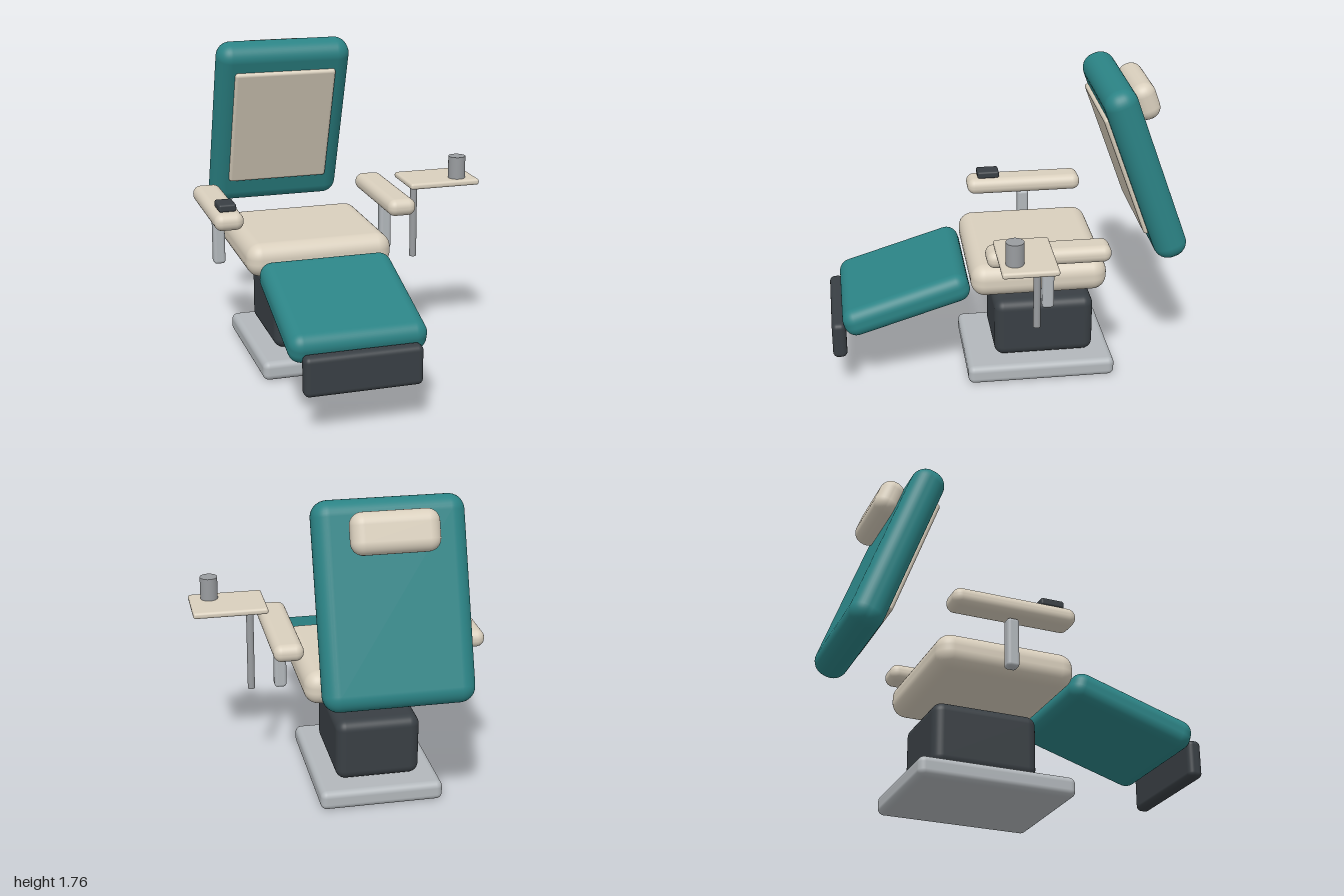
import * as THREE from 'three';
import { RoundedBoxGeometry } from 'three/addons/geometries/RoundedBoxGeometry.js';

const paint = (color) => new THREE.MeshStandardMaterial({ color });

export function createModel() {
  const model = new THREE.Group();
  model.name = 'recliningChair';
  const teal = paint(0x2b8385);
  const cream = paint(0xd9cfbd);
  const dark = paint(0x393f44);
  const metal = paint(0xb2b7bb);
  const steel = paint(0x999c9f);
  const CX = -0.193; // centre line of the chair itself

  const add = (parent, name, geometry, material, x, y, z) => {
    const mesh = new THREE.Mesh(geometry, material);
    mesh.name = name;
    mesh.position.set(x, y, z);
    parent.add(mesh);
    return mesh;
  };
  const box = (parent, name, [w, h, d], r, material, x, y, z) =>
    add(parent, name, new RoundedBoxGeometry(w, h, d, 5, r), material, x, y, z);

  // Floor plate, pedestal and seat cushion
  box(model, 'basePlate', [0.68, 0.108, 0.85], 0.035, metal, CX, 0.054, -0.19);
  box(model, 'pedestal', [0.465, 0.35, 0.573], 0.055, dark, CX, 0.287, -0.217);
  box(model, 'seatCushion', [0.818, 0.187, 0.762], 0.08, cream, CX, 0.684, -0.163);

  // Tilted backrest with its front panel and the pillow behind
  const back = new THREE.Group();
  back.name = 'backrest';
  back.position.set(CX, 1.251, -0.755);
  back.rotation.x = 0.35;
  model.add(back);
  box(back, 'backCushion', [0.787, 1.06, 0.187], 0.084, teal, 0, 0, 0);
  box(back, 'backPanel', [0.598, 0.742, 0.04], 0.018, cream, 0, 0.017, 0.096);
  box(back, 'headPillow', [0.455, 0.215, 0.14], 0.065, cream, 0, 0.35, -0.141);

  // Sloping leg rest and foot plate
  const legRest = box(model, 'legRest', [0.735, 0.166, 0.737], 0.07, teal, CX, 0.538, 0.579);
  legRest.rotation.x = 0.3;
  box(model, 'footPlate', [0.628, 0.215, 0.08], 0.03, dark, CX, 0.328, 0.96);

  // Armrests on posts
  for (const side of [-1, 1]) {
    const name = side < 0 ? 'right' : 'left';
    const x = CX + side * 0.491;
    box(model, name + 'Armrest', [0.162, 0.096, 0.68], 0.045, cream, x, 0.902, -0.19);
    box(model, name + 'ArmPost', [0.066, 0.272, 0.066], 0.018, metal, x, 0.712, -0.189);
  }
  box(model, 'handControl', [0.097, 0.042, 0.13], 0.012, dark, -0.684, 0.97, 0.024);

  // Side tray on a pole, holding a cup
  box(model, 'tray', [0.408, 0.034, 0.298], 0.014, cream, 0.556, 1.014, -0.029);
  add(model, 'trayPole', new THREE.CylinderGeometry(0.02, 0.02, 0.463, 24), steel, 0.447, 0.768, -0.107);
  add(model, 'cup', new THREE.CylinderGeometry(0.048, 0.048, 0.126, 32), steel, 0.65, 1.093, 0.042);

  return model;
}
